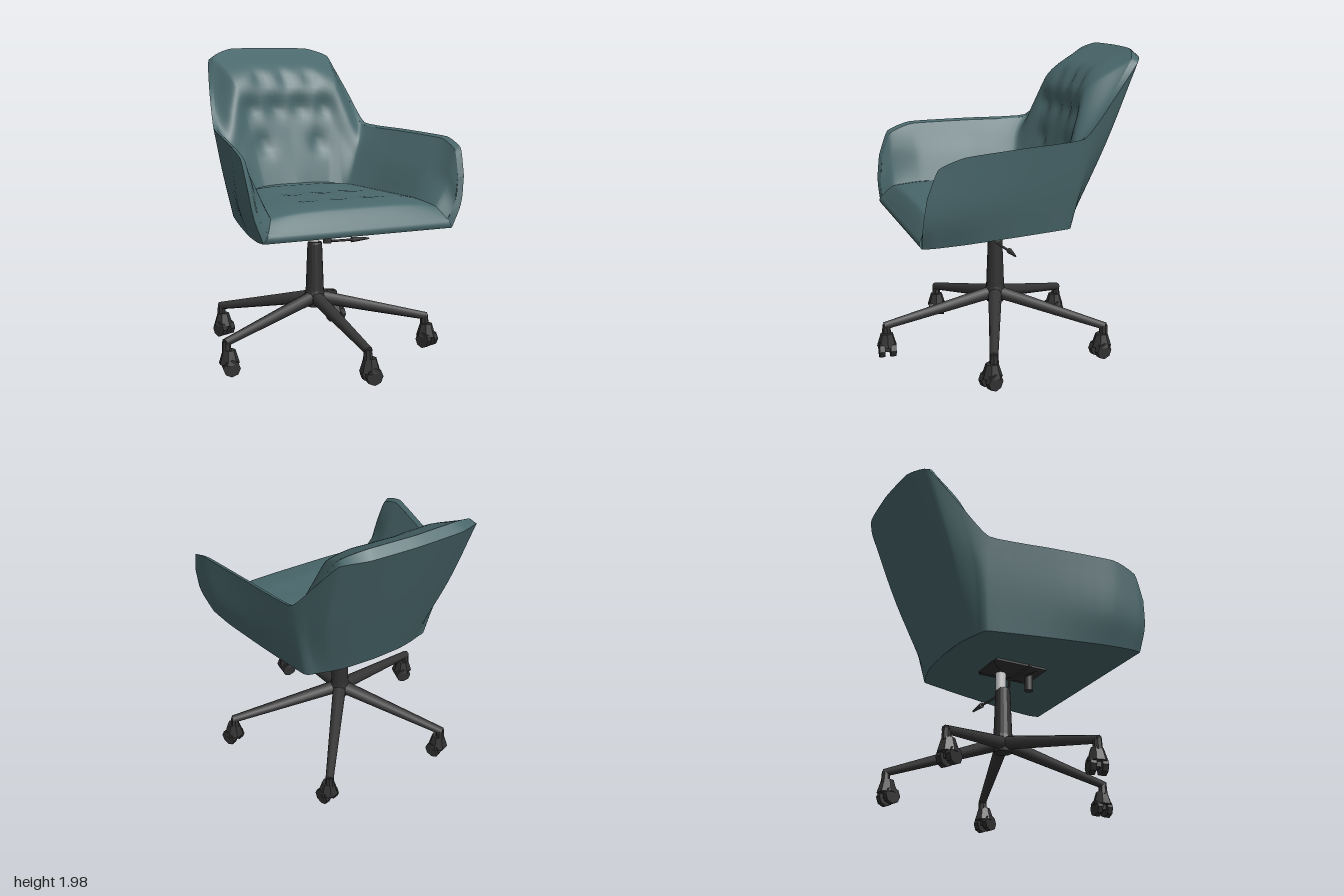
import * as THREE from 'three';
import { ParametricGeometry } from 'three/addons/geometries/ParametricGeometry.js';

const fabric = new THREE.MeshStandardMaterial({ color: 0x4a686c, side: THREE.DoubleSide });
const black = new THREE.MeshStandardMaterial({ color: 0x363636 });
const blackFlat = new THREE.MeshStandardMaterial({ color: 0x303030, flatShading: true });
const grey = new THREE.MeshStandardMaterial({ color: 0xcccccc });

const V = (x, y, z) => new THREE.Vector3(x, y, z);

function add(parent, name, geometry, material, x = 0, y = 0, z = 0) {
  const mesh = new THREE.Mesh(geometry, material);
  mesh.name = name;
  mesh.position.set(x, y, z);
  parent.add(mesh);
  return mesh;
}

// Rails of the shell: left half, from the arm tip round to the middle of the back
const bottomHalf = [[.63, .9, .67], [.64, .9, .60], [.615, .9, .40], [.54, .9, .05], [.45, .9, -.31],
  [.38, .9, -.345], [.30, .9, -.37], [.20, .9, -.39], [0, .9, -.40]].map(p => V(...p));
const middleHalf = [[.69, 1.05, .675], [.705, 1.08, .62], [.69, 1.10, .42], [.60, 1.15, .05], [.51, 1.2, -.345],
  [.48, 1.3, -.43], [.42, 1.42, -.56], [.27, 1.44, -.61], [0, 1.44, -.63]].map(p => V(...p));
const rimHalf = [[.72, 1.22, .655], [.735, 1.385, .59], [.735, 1.445, .43], [.65, 1.465, .03], [.56, 1.485, -.365],
  [.515, 1.70, -.56], [.455, 1.92, -.745], [.30, 1.95, -.82], [0, 1.955, -.838]].map(p => V(...p));
const padHalf = [[.655, 1.05, .66], [.635, 1.15, .58], [.585, 1.22, .40], [.51, 1.25, .02], [.43, 1.25, -.25],
  [.36, 1.38, -.33], [.30, 1.48, -.38], [.18, 1.52, -.40], [0, 1.52, -.41]].map(p => V(...p));
const seatHalf = [[.60, .955, .665], [.555, 1.03, .59], [.51, 1.06, .40], [.43, 1.07, .02], [.36, 1.08, -.20],
  [.32, 1.08, -.24], [.24, 1.09, -.27], [.10, 1.09, -.27], [0, 1.09, -.265]].map(p => V(...p));

// Rim thickness: flat along the arms, rolled up and forward over the top of the back
const roll = [0, 0, 0, 0, 0, .15, .55, 1, 1];
const lipHalf = rimHalf.map((p, i) => V(p.x * .955, p.y - .012 + .057 * roll[i], p.z * .975 + .03 * roll[i]));
const puff = [0, 0, 0, 0, .15, .55, .9, 1, 1];
const puffHalf = lipHalf.map((p, i) =>
  p.clone().lerp(padHalf[i], .5).add(V(0, .05 * puff[i], .115 * puff[i])));

// Nearly straight runs between stations keep the corners and side seams crisp
const railCurve = points => new THREE.CatmullRomCurve3(points, false, 'catmullrom', .22);
const fullCurve = half => railCurve([...half, ...half.slice(0, -1).reverse().map(p => V(-p.x, p.y, p.z))]);

function patch(fn, nu, nv) {
  const geometry = new ParametricGeometry((u, v, target) => target.copy(fn(u, v)), nu, nv);
  geometry.computeVertexNormals();
  return geometry;
}

// Smooth surface through a series of rails
function loft(halves, nu, nv, shape = p => p) {
  const rails = halves.map(fullCurve);
  return patch((u, v) => shape(new THREE.CatmullRomCurve3(rails.map(r => r.getPoint(u))).getPoint(v)), nu, nv);
}

// Button hollows in the backrest and seat
const backButtons = [[-.2, 1.36], [.2, 1.36], [-.27, 1.6], [-.09, 1.6], [.09, 1.6], [.27, 1.6],
  [-.18, 1.8], [0, 1.8], [.18, 1.8]];
const seatButtons = [[-.2, .05], [0, .05], [.2, .05], [-.22, .32], [0, .32], [.22, .32]];
const hollow = (buttons, a, b) => buttons.reduce(
  (sum, [x, y]) => sum + Math.exp(-((a - x) ** 2 + (b - y) ** 2) / .004), 0);

function buildShell() {
  const shell = new THREE.Group();
  shell.name = 'upholsteredShell';
  add(shell, 'outerShell', loft([bottomHalf, middleHalf, rimHalf], 80, 10), fabric);
  add(shell, 'rim', loft([rimHalf, lipHalf], 80, 1), fabric);
  add(shell, 'backAndArmPadding', loft([lipHalf, puffHalf, padHalf, seatHalf], 112, 28, p => {
    if (p.z < -.2) p.z -= .028 * hollow(backButtons, p.x, p.y);
    return p;
  }), fabric);

  // Crowned seat cushion
  const seatEdge = railCurve(seatHalf), bottomEdge = railCurve(bottomHalf);
  add(shell, 'seatCushion', patch((u, v) => {
    const p = seatEdge.getPoint(v), s = 2 * u - 1;
    p.x *= s;
    p.y += .035 * (1 - s ** 4) * Math.min(1, v * 8) * (1 - v) - .012 * hollow(seatButtons, p.x, p.z);
    return p;
  }, 32, 40), fabric);

  // Underside and front edge
  add(shell, 'underside', patch((u, v) => {
    const p = bottomEdge.getPoint(v);
    p.x *= 1 - 2 * u;
    return p;
  }, 4, 32), fabric);
  add(shell, 'frontEdge', patch((u, v) => {
    const p = bottomHalf[0].clone().lerp(seatHalf[0], v);
    p.x *= 2 * u - 1;
    p.z += .012 * Math.sin(Math.PI * v);
    return p;
  }, 16, 4), fabric);

  // Front faces of the arms
  const outer = new THREE.CatmullRomCurve3([bottomHalf[0], middleHalf[0], rimHalf[0]]);
  const inner = new THREE.CatmullRomCurve3([seatHalf[0], padHalf[0], lipHalf[0]]);
  for (const side of [1, -1]) {
    add(shell, side > 0 ? 'leftArmFront' : 'rightArmFront', patch((u, v) => {
      const p = inner.getPoint(v).lerp(outer.getPoint(v), side > 0 ? u : 1 - u);
      p.x *= side;
      return p;
    }, 2, 8), fabric);
  }
  // The seat is swivelled very slightly
  shell.position.x = -.02;
  shell.rotation.y = .014;
  return shell;
}

// Compact twin-wheel caster with a hood and stem
function buildCaster(swivel) {
  const caster = new THREE.Group();
  caster.name = 'caster';
  add(caster, 'stem', new THREE.CylinderGeometry(.026, .03, .07, 8), blackFlat, 0, .195, 0);
  const fork = new THREE.Group();
  fork.name = 'wheelFork';
  fork.rotation.y = swivel;
  add(fork, 'hood', new THREE.CylinderGeometry(.04, .066, .085, 7), blackFlat, 0, .133, .015);
  for (const x of [-.036, .036]) {
    const wheel = add(fork, 'wheel', new THREE.CylinderGeometry(.054, .054, .036, 8), blackFlat, x, .07, .025);
    wheel.rotation.z = Math.PI / 2;
  }
  add(fork, 'axle', new THREE.BoxGeometry(.045, .05, .05), blackFlat, 0, .085, .025);
  caster.add(fork);
  return caster;
}

function buildBase() {
  const base = new THREE.Group();
  base.name = 'base';
  const column = [[0, .32], [.055, .32], [.066, .4], [.06, .43], [.048, .74], [.044, .75], [0, .75]];
  add(base, 'column', new THREE.LatheGeometry(column.map(p => new THREE.Vector2(...p)), 16), blackFlat);

  // Five tapered legs, one pointing forward
  const from = V(0, .38, .03), to = V(0, .222, .755);
  const swivels = [1.5, -.9, -2.3, 2.9, 2.6];
  swivels.forEach((swivel, i) => {
    const arm = new THREE.Group();
    arm.name = 'legWithCaster';
    arm.rotation.y = i * Math.PI * 2 / 5;
    const leg = add(arm, 'leg', new THREE.CylinderGeometry(.026, .045, from.distanceTo(to), 8), black);
    leg.position.copy(from).lerp(to, .5);
    leg.quaternion.setFromUnitVectors(V(0, 1, 0), to.clone().sub(from).normalize());
    const caster = buildCaster(swivel);
    caster.position.z = .742;
    arm.add(caster);
    base.add(arm);
  });
  base.position.set(-.03, 0, .028);
  base.rotation.y = .018;
  return base;
}

function buildMechanism() {
  const mechanism = new THREE.Group();
  mechanism.name = 'seatMechanism';
  add(mechanism, 'gasPiston', new THREE.CylinderGeometry(.034, .034, .15, 16), grey, -.03, .81, .012);
  add(mechanism, 'mountingPlate', new THREE.BoxGeometry(.26, .014, .36), black, -.03, .892, .1);
  const housing = add(mechanism, 'housing', new THREE.CylinderGeometry(.24, .13, .03, 4, 1, false, Math.PI / 4),
    blackFlat, -.03, .872, .07);
  housing.scale.x = .6;
  add(mechanism, 'tensionKnob', new THREE.CylinderGeometry(.028, .028, .11, 10), black, -.03, .832, .22);

  // Height lever with a tapered grip, and tilt rod
  const lever = new THREE.CatmullRomCurve3(
    [V(-.02, .85, .08), V(.02, .8, .1), V(.08, .75, .05), V(.25, .74, .02)], false, 'catmullrom', .2);
  add(mechanism, 'heightLever', new THREE.TubeGeometry(lever, 16, .008, 6), black);
  const grip = add(mechanism, 'leverGrip', new THREE.CylinderGeometry(.018, .006, .13, 8), black, .31, .738, .015);
  grip.rotation.z = Math.PI / 2;
  const rod = add(mechanism, 'tiltRod', new THREE.CylinderGeometry(.008, .008, .26, 6), black, -.14, .84, .1);
  rod.rotation.z = Math.PI / 2;
  return mechanism;
}

export function createModel() {
  const chair = new THREE.Group();
  chair.name = 'officeChair';
  chair.add(buildShell(), buildMechanism(), buildBase());
  return chair;
}
